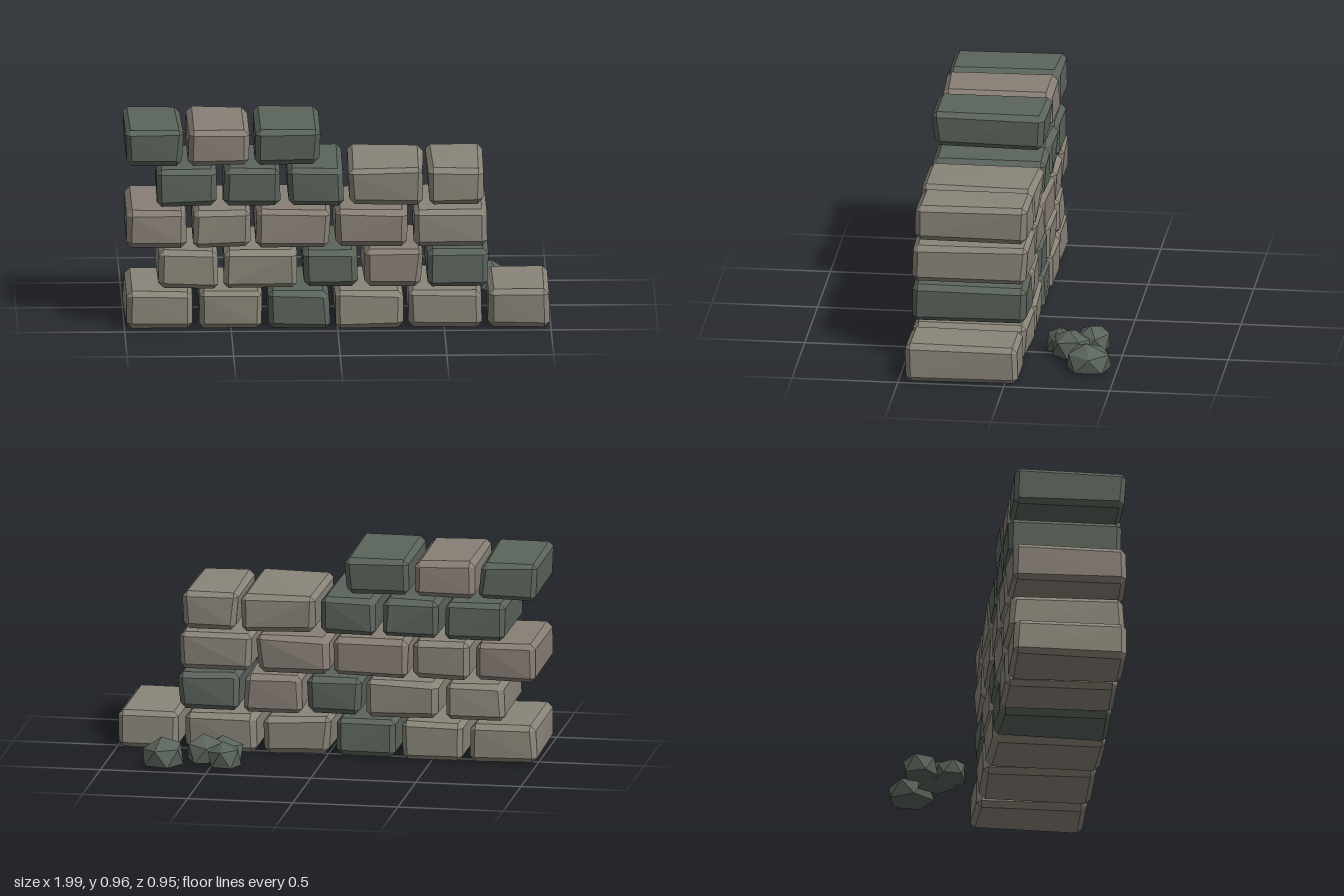
import * as THREE from 'three';
import { ConvexGeometry } from 'three/addons/geometries/ConvexGeometry.js';

const material = (name, color) => {
  const m = new THREE.MeshStandardMaterial({ color, flatShading: true });
  m.name = name;
  return m;
};

// Small seeded generator, so that every brick is irregular but repeatable
let seed = 7;
const rnd = () => {
  seed = (seed * 16807) % 2147483647;
  return seed / 2147483647;
};

// Bevelled block with slightly uneven corners, kept inside the given bounds
function brickGeometry(min, max) {
  const points = [];
  for (const sx of [0, 1]) for (const sy of [0, 1]) for (const sz of [0, 1]) {
    const side = [sx, sy, sz];
    const wobble = [0.012, 0.008, 0.014];
    const corner = side.map((s, i) => (s ? max[i] - rnd() * wobble[i] : min[i] + rnd() * wobble[i]));
    const bevel = 0.02 + rnd() * 0.009;
    // One point per face meeting at this corner
    for (let axis = 0; axis < 3; axis++) {
      const p = corner.map((c, i) => (i === axis ? c : c + (side[i] ? -bevel : bevel)));
      points.push(new THREE.Vector3(...p));
    }
  }
  return new ConvexGeometry(points);
}

// Faceted lump with a flat underside: base outline, shoulder ring and peak
function rockGeometry(x, z, rx, rz, height, turn) {
  const base = 0.015;
  const points = [new THREE.Vector3(x + 0.01, height, z + 0.012)];
  for (let i = 0; i < 5; i++) {
    const a = turn + (i * Math.PI * 2) / 5;
    const b = a + Math.PI / 5;
    const r = 0.92 + rnd() * 0.1;
    points.push(new THREE.Vector3(x + Math.cos(a) * rx * r, base, z + Math.sin(a) * rz * r));
    points.push(new THREE.Vector3(
      x + Math.cos(b) * rx * 0.9, base + (height - base) * (0.55 + rnd() * 0.2), z + Math.sin(b) * rz * 0.9));
  }
  return new ConvexGeometry(points);
}

export function createModel() {
  seed = 7;
  const stone = material('stone', 0x8a8579);
  const warm = material('warm stone', 0x887f76);
  const dark = material('dark green stone', 0x5b655c);

  const model = new THREE.Group();
  model.name = 'brokenWall';

  // Courses from the bottom up: height range, depth range, bricks [left, right, material]
  const courses = [
    { y: [0.003, 0.19], z: [-0.07, 0.475], bricks: [
      [-1, -0.67, stone], [-0.655, -0.35, stone], [-0.335, -0.035, dark],
      [-0.02, 0.31, stone], [0.33, 0.685, stone], [0.7, 1, stone]] },
    { y: [0.2, 0.386], z: [-0.074, 0.478], bricks: [
      [-0.85, -0.56, stone], [-0.54, -0.185, stone], [-0.17, 0.1, dark],
      [0.115, 0.4, warm], [0.41, 0.71, dark]] },
    { y: [0.394, 0.58], z: [-0.078, 0.48], bricks: [
      [-1, -0.7, warm], [-0.68, -0.4, stone], [-0.39, -0.03, warm],
      [-0.02, 0.335, warm], [0.35, 0.705, stone]] },
    { y: [0.59, 0.776], z: [-0.08, 0.464], bricks: [
      [-0.85, -0.56, dark], [-0.54, -0.26, dark], [-0.24, 0.03, dark],
      [0.05, 0.41, stone], [0.42, 0.69, stone]] },
    { y: [0.787, 0.967], z: [-0.065, 0.473], bricks: [
      [-1, -0.72, dark], [-0.705, -0.41, warm], [-0.395, -0.08, dark]] },
  ];
  courses.forEach(({ y, z, bricks }, row) => {
    const course = new THREE.Group();
    course.name = `course${row + 1}`;
    bricks.forEach(([x0, x1, mat], i) => {
      const brick = new THREE.Mesh(brickGeometry([x0, y[0], z[0]], [x1, y[1], z[1]]), mat);
      brick.name = `brick${i + 1}`;
      course.add(brick);
    });
    model.add(course);
  });

  // Fallen rubble behind the wall: x, z, half width, half depth, height, turn
  const rubble = new THREE.Group();
  rubble.name = 'rubble';
  [
    [0.725, -0.37, 0.105, 0.112, 0.14, -1.95],
    [0.435, -0.355, 0.085, 0.088, 0.125, -2.1],
    [0.46, -0.21, 0.1, 0.075, 0.12, 1.2],
    [0.54, -0.265, 0.095, 0.095, 0.137, 0.1],
  ].forEach((r, i) => {
    const rock = new THREE.Mesh(rockGeometry(...r), dark);
    rock.name = `rock${i + 1}`;
    rubble.add(rock);
  });
  model.add(rubble);

  return model;
}
